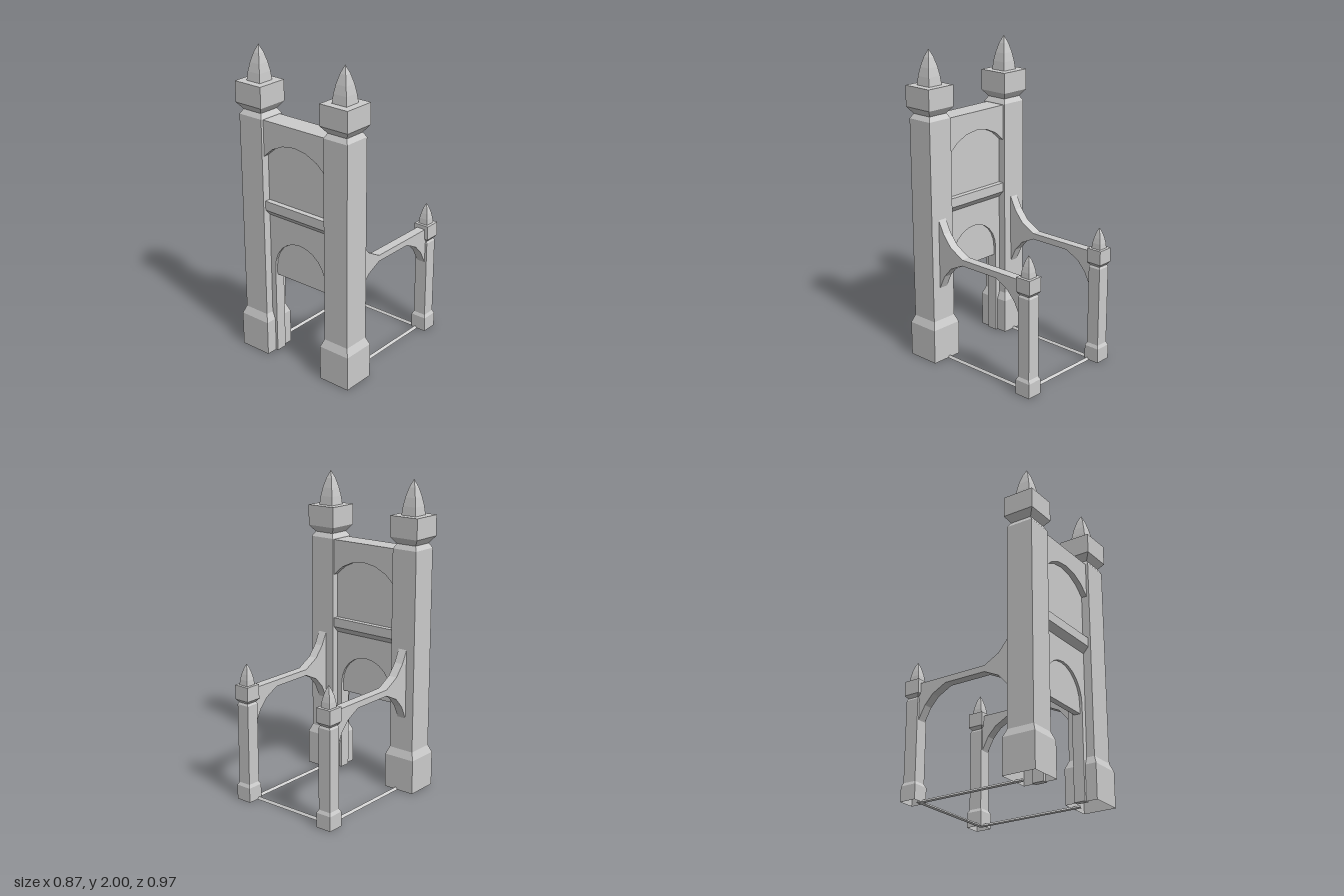
import * as THREE from 'three';

const mat = new THREE.MeshStandardMaterial({ color: 0xcccccc, flatShading: true, side: THREE.DoubleSide });

function add(parent, name, geometry, x = 0, y = 0, z = 0) {
  const mesh = new THREE.Mesh(geometry, mat);
  mesh.name = name;
  mesh.position.set(x, y, z);
  parent.add(mesh);
  return mesh;
}

// Square pillar from a profile of [half width, height] pairs
function squareLathe(profile) {
  const pts = profile.map(([w, y]) => new THREE.Vector2(w * Math.SQRT2, y));
  return new THREE.LatheGeometry(pts, 4, Math.PI / 4);
}

// Outline extruded along z, centred on z = 0
function slab(points, depth) {
  const shape = new THREE.Shape(points.map(([x, y]) => new THREE.Vector2(x, y)));
  const g = new THREE.ExtrudeGeometry(shape, { depth, bevelEnabled: false });
  return g.translate(0, 0, -depth / 2);
}

// Outline of [z, y] pairs extruded along x, centred on x = 0
const sideSlab = (points, width) => slab(points, width).rotateY(-Math.PI / 2);

// Points of an arc from the right end (+x) to the left
function arch(rx, ry, cy, a0, n) {
  const pts = [];
  for (let i = 0; i <= n; i++) {
    const a = a0 + (Math.PI - 2 * a0) * i / n;
    pts.push([rx * Math.cos(a), cy + ry * Math.sin(a)]);
  }
  return pts;
}

export function createModel() {
  const model = new THREE.Group();
  model.name = 'gateway';

  const tower = [[0.108, 0], [0.108, 0.225], [0.088, 0.275], [0.088, 1.575], [0.07, 1.605],
    [0.102, 1.648], [0.102, 1.78], [0.053, 1.78], [0.047, 1.835], [0.037, 1.89], [0.021, 1.95], [0, 2]];
  const post = [[0.053, 0], [0.053, 0.095], [0.043, 0.115], [0.043, 0.635], [0.036, 0.648],
    [0.052, 0.668], [0.052, 0.76], [0.033, 0.76], [0.03, 0.795], [0.023, 0.83], [0.013, 0.865], [0, 0.895]];
  // Flying buttress with a curved flare at the tower and a bracket at the post
  const buttress = [[0.3, 0.96], [0.29, 0.942], [0.25, 0.862], [0.19, 0.79], [0.09, 0.735], [-0.4, 0.735],
    [-0.4, 0.48], [-0.385, 0.51], [-0.345, 0.585], [-0.29, 0.645], [-0.195, 0.695],
    [0.09, 0.695], [0.19, 0.647], [0.25, 0.58], [0.29, 0.495], [0.3, 0.475]];
  const ridge = [[-0.014, 0], [0.014, 0], [0, 0.015]];

  for (const s of [1, -1]) {
    const side = s > 0 ? 'left' : 'right';
    add(model, side + 'Tower', squareLathe(tower), s * 0.327, 0, 0.379);
    add(model, side + 'RearPost', squareLathe(post), s * 0.328, 0, -0.433);
    add(model, side + 'Buttress', sideSlab(buttress, 0.06), s * 0.327, 0, 0);
    add(model, side + 'GroundStrip', slab(ridge, 0.72), s * 0.305, 0, -0.04);
  }
  add(model, 'rearGroundStrip', sideSlab(ridge, 0.64), 0, 0, -0.401);

  // Wall between the towers
  const wall = new THREE.Group();
  wall.name = 'wall';
  wall.position.z = 0.3775;
  model.add(wall);

  const r = 0.317, cy = 1.133;
  const a0 = Math.acos(0.24 / r);
  add(wall, 'upperArch', slab([[-0.24, 1.57], [0.24, 1.57], ...arch(r, r, cy, a0, 6).map((p) => p)].reverse(), 0.145));
  add(wall, 'upperPanel', new THREE.BoxGeometry(0.48, 0.55, 0.073), 0, 1.275, 0);

  // Moulding with chamfered lower edges on both faces
  add(wall, 'moulding', sideSlab([[-0.036, 0.95], [0.036, 0.95], [0.0725, 0.99], [0.0725, 1.05],
    [-0.0725, 1.05], [-0.0725, 0.99]], 0.48));

  // Doorway wall, with a thinner panel filling the head of the arch
  add(wall, 'doorwayWall', slab([[-0.24, 0], [-0.24, 0.96], [0.24, 0.96], [0.24, 0], [0.203, 0],
    ...arch(0.203, 0.205, 0.602, 0, 12), [-0.203, 0]], 0.073));
  add(wall, 'doorwayPanel', slab([[-0.205, 0.545], [0.205, 0.545], ...arch(0.205, 0.207, 0.602, 0, 12)], 0.04));

  return model;
}
